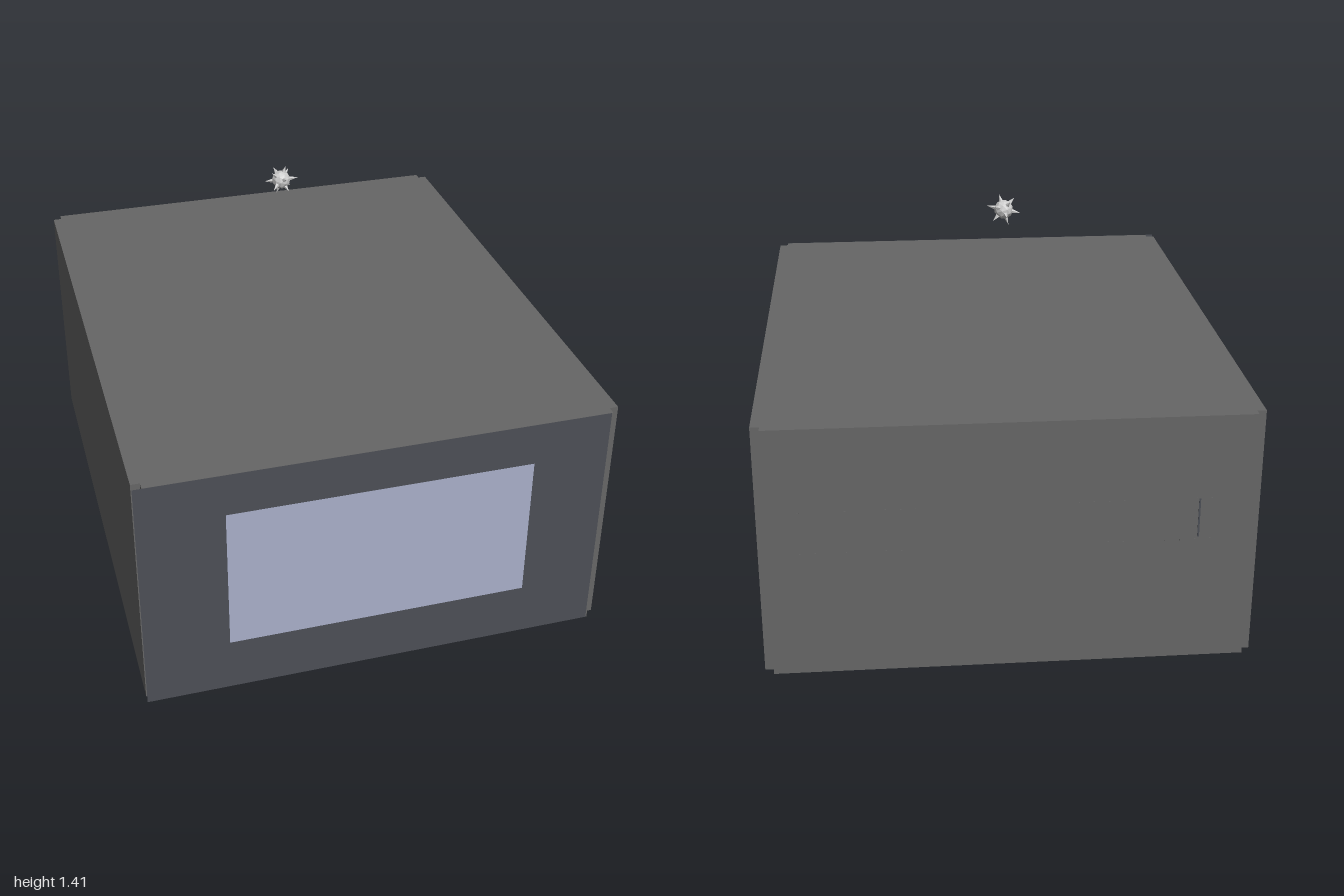
import * as THREE from 'three';

const grey = new THREE.MeshStandardMaterial({ color: 0x666666 });
const dark = new THREE.MeshStandardMaterial({ color: 0x4c4f56, side: THREE.DoubleSide });
const pale = new THREE.MeshStandardMaterial({ color: 0xa9aec9, side: THREE.DoubleSide });
const metal = new THREE.MeshStandardMaterial({ color: 0xcccccc, flatShading: true });

const H = 0.895; // building height
const T = 0.035; // wall thickness

function add(parent, name, geometry, material, x, y, z) {
  const mesh = new THREE.Mesh(geometry, material);
  mesh.name = name;
  mesh.position.set(x, y, z);
  parent.add(mesh);
  return mesh;
}

// Small faceted ball with a spike along each icosahedron corner
function spikedBall() {
  const ball = new THREE.Group();
  ball.name = 'spikedBall';
  add(ball, 'ballCore', new THREE.IcosahedronGeometry(0.034, 1), metal, 0, 0, 0);
  const g = (1 + Math.sqrt(5)) / 2;
  const up = new THREE.Vector3(0, 1, 0);
  let i = 0;
  for (const a of [-1, 1]) for (const b of [-g, g]) {
    for (const corner of [[0, a, b], [a, b, 0], [b, 0, a]]) {
      const dir = new THREE.Vector3(...corner).normalize();
      const length = 0.026 + 0.004 * (i++ % 3);
      const spike = add(ball, 'spike', new THREE.ConeGeometry(0.009, length, 5), metal, 0, 0, 0);
      spike.position.copy(dir).multiplyScalar(0.028 + length / 2);
      spike.quaternion.setFromUnitVectors(up, dir);
    }
  }
  ball.position.set(-0.05, 1.35, -0.14);
  ball.rotation.set(0.2, 0.3, 0.25);
  return ball;
}

export function createModel() {
  const model = new THREE.Group();
  model.name = 'building';

  // Side walls and end walls, leaving a notch at every corner
  for (const s of [-1, 1]) {
    add(model, s > 0 ? 'leftWall' : 'rightWall',
      new THREE.BoxGeometry(T, H, 1.94), grey, s * (0.828 - T / 2), H / 2, 0);
    add(model, s > 0 ? 'frontWall' : 'backWall',
      new THREE.BoxGeometry(1.594, H, T), grey, 0, H / 2, s * (0.998 - T / 2));
  }

  // Roof and floor close the box between the walls
  add(model, 'roof', new THREE.BoxGeometry(1.59, T, 1.93), grey, 0, H - T / 2, 0);
  add(model, 'floor', new THREE.BoxGeometry(1.59, T, 1.93), grey, 0, T / 2, 0);

  // Dark front facing with the pale window pane
  add(model, 'frontFacing', new THREE.PlaneGeometry(1.62, H), dark, -0.018, H / 2, 0.999);
  add(model, 'windowPane', new THREE.PlaneGeometry(1.06, 0.54), pale, -0.005, 0.47, 1.001);

  // Tiny fixings showing through the back wall, in four groups of two rows
  const stud = new THREE.BoxGeometry(0.005, 0.005, 0.004);
  for (const start of [0.69, 0.41, -0.22, -0.51]) {
    for (let i = 0; i < 4; i++) {
      for (const y of [0.45, 0.6]) add(model, 'backStud', stud, grey, start - i * 0.05, y, -0.998);
    }
  }
  add(model, 'backSlot', new THREE.BoxGeometry(0.006, 0.14, 0.004), dark, -0.62, 0.53, -0.998);

  model.add(spikedBall());
  return model;
}
